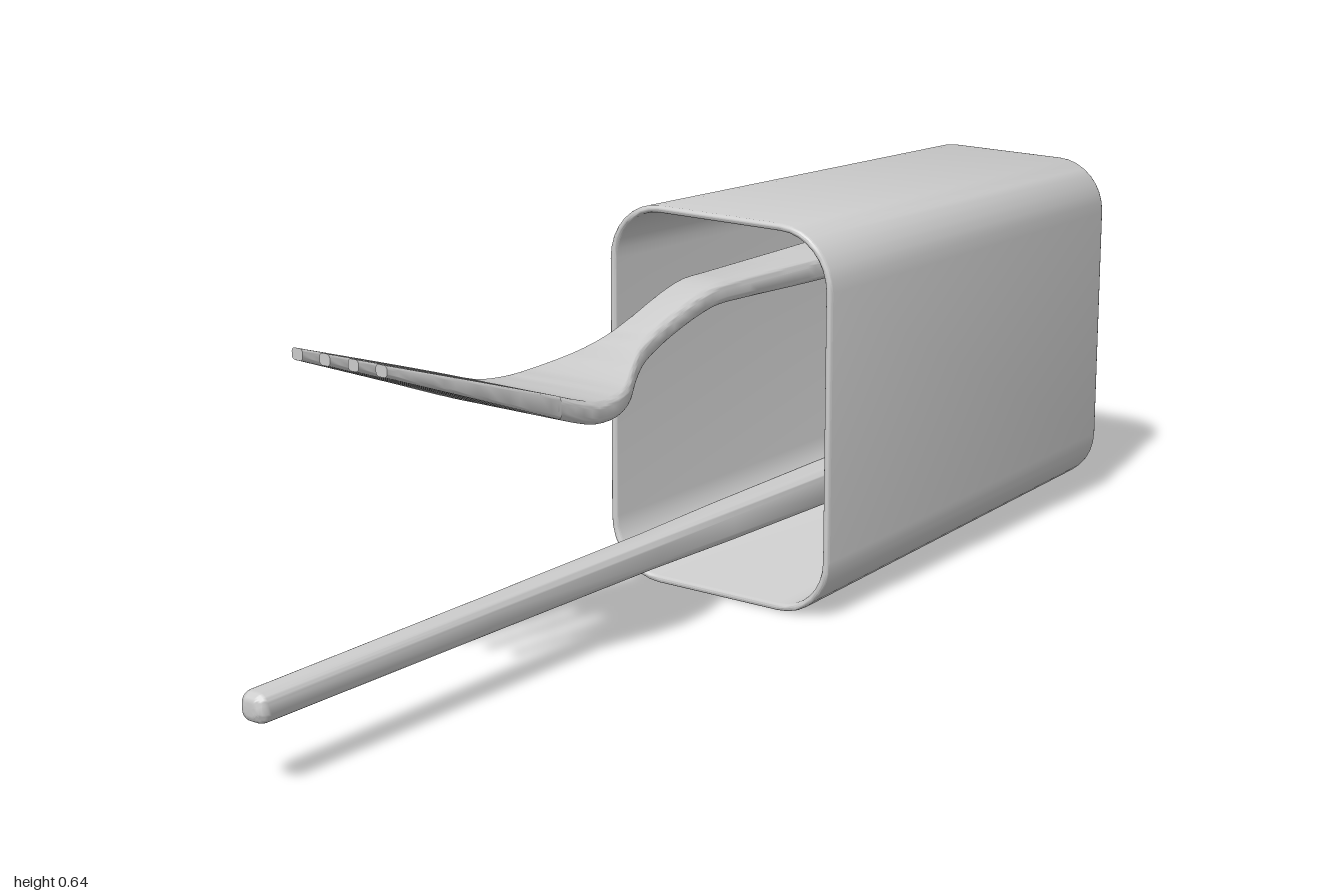
import * as THREE from 'three';
import { toCreasedNormals } from 'three/addons/utils/BufferGeometryUtils.js';

const CORNER = 8; // segments per rounded corner

// Rounded-rectangle outline, counter-clockwise seen from +z
function outline({ z, x = 0, y, hw, hh, r }) {
  const pts = [];
  r = Math.min(r, hw, hh);
  [[1, 1], [-1, 1], [-1, -1], [1, -1]].forEach(([sx, sy], q) => {
    for (let i = 0; i <= CORNER; i++) {
      const a = (q + i / CORNER) * Math.PI / 2;
      pts.push([x + sx * (hw - r) + r * Math.cos(a), y + sy * (hh - r) + r * Math.sin(a), z]);
    }
  });
  return pts;
}

// Skin a row of rounded-rectangle sections and close both ends
function loft(name, sections, crease = 0.6) {
  const n = 4 * (CORNER + 1);
  const pos = sections.flatMap(outline).flat();
  const index = [];
  for (let j = 0; j < sections.length - 1; j++) {
    for (let i = 0; i < n; i++) {
      const a = j * n + i, b = j * n + (i + 1) % n;
      index.push(a, b, b + n, a, b + n, a + n);
    }
  }
  const first = sections[0], last = sections[sections.length - 1];
  const c = sections.length * n, end = c - n;
  pos.push(first.x ?? 0, first.y, first.z, last.x ?? 0, last.y, last.z);
  for (let i = 0; i < n; i++) {
    const k = (i + 1) % n;
    index.push(c, k, i, c + 1, end + i, end + k);
  }
  const geo = new THREE.BufferGeometry();
  geo.setAttribute('position', new THREE.Float32BufferAttribute(pos, 3));
  geo.setIndex(index);
  const mesh = new THREE.Mesh(toCreasedNormals(geo, crease),
    new THREE.MeshStandardMaterial({ color: 0xcccccc }));
  mesh.name = name;
  return mesh;
}

function createCup() {
  const y = 0.3225;
  const rows = [];
  const add = (z, hw, hh, r) => rows.push({ z, y, hw, hh, r });
  // rounded outer base
  for (let i = 0; i <= 5; i++) {
    const a = i / 5 * Math.PI / 2, d = 0.02 * (1 - Math.sin(a));
    add(-0.98 - 0.02 * Math.cos(a), 0.2 - d, 0.296 - d, 0.09 - d);
  }
  // rim, rounded over from outside to inside
  for (let i = 0; i <= 6; i++) {
    const a = i / 6 * Math.PI, d = 0.006 * (1 - Math.cos(a));
    add(-0.096 + 0.006 * Math.sin(a), 0.222 - d, 0.3225 - d, 0.1 - d);
  }
  // inner wall ending in a fillet at the floor
  for (let i = 0; i <= 5; i++) {
    const a = i / 5 * Math.PI / 2, d = 0.012 * (1 - Math.cos(a));
    add(-0.965 - 0.012 * Math.sin(a), 0.186 - d, 0.285 - d, 0.08 - d);
  }
  return loft('cup', rows);
}

// Fork centre line: z, height, half width, half thickness
const FORK = [
  [-0.9, 0.522, 0.05, 0.02], [-0.7, 0.522, 0.058, 0.02], [-0.35, 0.522, 0.052, 0.02],
  [-0.1, 0.527, 0.043, 0.018], [-0.04, 0.527, 0.041, 0.018], [0.02, 0.515, 0.039, 0.018],
  [0.1, 0.49, 0.038, 0.018], [0.16, 0.469, 0.045, 0.018], [0.21, 0.451, 0.066, 0.018],
  [0.26, 0.436, 0.094, 0.018], [0.31, 0.429, 0.111, 0.018], [0.37, 0.433, 0.12, 0.018],
  [0.42, 0.447, 0.121, 0.018], [0.465, 0.463, 0.12, 0.0175], [0.6, 0.511, 0.109, 0.014],
  [0.8, 0.581, 0.09, 0.009],
];

// Interpolate the table smoothly at a given z
function forkAt(z) {
  let i = 0;
  while (i < FORK.length - 2 && z > FORK[i + 1][0]) i++;
  const p = FORK[i], q = FORK[i + 1], h = q[0] - p[0], t = (z - p[0]) / h;
  const slope = (k, col) => {
    const a = FORK[Math.max(k - 1, 0)], b = FORK[Math.min(k + 1, FORK.length - 1)];
    return (b[col] - a[col]) / (b[0] - a[0]);
  };
  const value = (col) => {
    const s = t * t * (3 - 2 * t);
    return p[col] * (1 - s) + q[col] * s
      + h * (t * (1 - t) * (1 - t) * slope(i, col) - t * t * (1 - t) * slope(i + 1, col));
  };
  return { z, y: value(1), hw: value(2), hh: value(3) };
}

function createFork() {
  const fork = new THREE.Group();
  fork.name = 'fork';
  const root = 0.465, tip = 0.8;

  // handle, neck and head
  const body = [];
  for (let i = 0; i <= 4; i++) {
    const a = i / 4 * Math.PI / 2, d = 0.012 * (1 - Math.sin(a)), s = forkAt(-0.9);
    body.push({ ...s, z: -0.9 - 0.012 * Math.cos(a), hw: s.hw - d, hh: s.hh - d, r: 0.012 - d + 0.001 });
  }
  for (let i = 1; i <= 70; i++) body.push({ ...forkAt(-0.9 + (root + 0.9) * i / 70), r: 0.012 });
  fork.add(loft('forkBody', body));

  // tines: inner and outer edge at the root and at the tip
  [[0.011, 0.042, 0.017, 0.037], [0.064, null, 0.069, null]].forEach(([in0, out0, in1, out1], k) => {
    for (const side of [-1, 1]) {
      const rows = [];
      for (let i = 0; i <= 16; i++) {
        const t = i / 16, s = forkAt(THREE.MathUtils.lerp(root - 0.006, tip, t));
        const inner = THREE.MathUtils.lerp(in0, in1, t);
        const outer = out0 === null ? s.hw : THREE.MathUtils.lerp(out0, out1, t);
        rows.push({ ...s, x: side * (inner + outer) / 2, hw: (outer - inner) / 2, r: 0.006 });
      }
      fork.add(loft((k ? 'outerTine' : 'innerTine') + (side > 0 ? 'Left' : 'Right'), rows));
    }
  });
  return fork;
}

function createChopstick() {
  const rows = [];
  const y = 0.127;
  // square thick end, tapering to a round thin end
  for (const [z, h, r] of [[-0.93, 0.026, 0.008], [-0.92, 0.032, 0.012], [-0.4, 0.031, 0.013],
    [-0.1, 0.029, 0.014], [0.1, 0.026, 0.014], [0.5, 0.0245, 0.015]]) rows.push({ z, y, hw: h, hh: h, r });
  for (let i = 0; i <= 6; i++) {
    const a = i / 6 * Math.PI / 2, h = 0.009 + 0.0145 * Math.cos(a);
    rows.push({ z: 0.98 + 0.02 * Math.sin(a), y, hw: h, hh: h, r: h * 0.7 });
  }
  return loft('chopstick', rows);
}

export function createModel() {
  const model = new THREE.Group();
  model.name = 'cupWithCutlery';
  model.add(createCup(), createFork(), createChopstick());
  return model;
}
